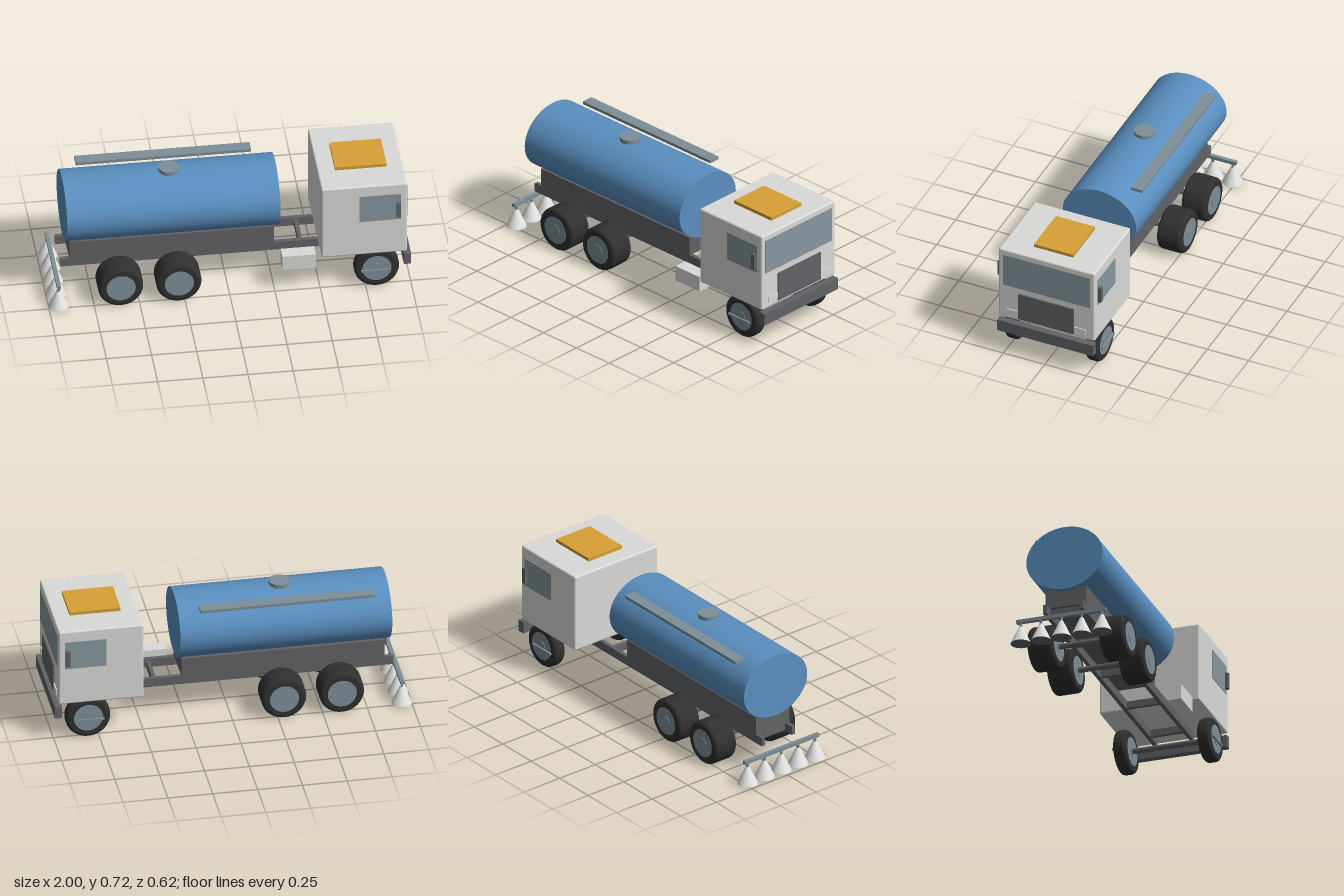
import * as THREE from 'three';
import { RoundedBoxGeometry } from 'three/addons/geometries/RoundedBoxGeometry.js';

const paint = (name, color) => {
  const m = new THREE.MeshStandardMaterial({ color });
  m.name = name;
  return m;
};

export function createModel() {
  const truck = new THREE.Group();
  truck.name = 'waterTruck';

  const cabWhite = paint('cabWhite', 0xdadad8);
  const tankBlue = paint('tankBlue', 0x5a8fc0);
  const frameGrey = paint('frameGrey', 0x626366);
  const steel = paint('steel', 0x7d8f98);
  const glass = paint('glass', 0x87979f);
  const rubber = paint('rubber', 0x303030);
  const amber = paint('amber', 0xd8a035);
  const sprayWhite = paint('sprayWhite', 0xe4e4e2);

  const add = (name, geometry, material, x = 0, y = 0, z = 0, parent = truck) => {
    const mesh = new THREE.Mesh(geometry, material);
    mesh.name = name;
    mesh.position.set(x, y, z);
    parent.add(mesh);
    return mesh;
  };
  // Box given by its limits on each axis
  const box = (name, material, [x0, x1], [y0, y1], [z0, z1], radius = 0) => {
    const size = [x1 - x0, y1 - y0, z1 - z0];
    const geometry = radius
      ? new RoundedBoxGeometry(...size, 3, radius)
      : new THREE.BoxGeometry(...size);
    return add(name, geometry, material, (x0 + x1) / 2, (y0 + y1) / 2, (z0 + z1) / 2);
  };
  // Limits along z for the given side
  const side = (s, a, b) => (s > 0 ? [a, b] : [-b, -a]);

  // Chassis: two rails with cross members
  for (const s of [1, -1]) {
    box('chassisRail', frameGrey, [-0.92, 0.905], [0.185, 0.236], side(s, 0.094, 0.117));
  }
  for (const x of [-0.85, -0.44, -0.02, 0.41, 0.8]) {
    box('crossMember', frameGrey, [x - 0.011, x + 0.011], [0.19, 0.23], [-0.095, 0.095]);
  }
  box('tankCradle', frameGrey, [-0.87, 0.262], [0.235, 0.345], [-0.118, 0.118]);
  box('bumper', frameGrey, [0.958, 0.998], [0.145, 0.215], [-0.29, 0.29]);
  box('toolBox', cabWhite, [0.29, 0.475], [0.147, 0.236], [0.183, 0.26]);

  // Oval tank lying along x
  const tankGeometry = new THREE.CylinderGeometry(1, 1, 1.18, 64);
  tankGeometry.rotateZ(Math.PI / 2).scale(1, 0.186, 0.222);
  add('tank', tankGeometry, tankBlue, -0.305, 0.516, 0);
  add('tankHatch', new THREE.CylinderGeometry(0.058, 0.058, 0.03, 32), steel, -0.305, 0.705, 0);
  box('walkway', steel, [-0.8, 0.17], [0.675, 0.692], [-0.205, -0.138]);

  // Cab
  box('cab', cabWhite, [0.503, 0.977], [0.23, 0.69], [-0.29, 0.29], 0.01);
  box('roofHatch', amber, [0.6, 0.885], [0.688, 0.709], [-0.118, 0.118]);
  box('windscreen', glass, [0.973, 0.98], [0.453, 0.656], [-0.263, 0.263]);
  box('grille', frameGrey, [0.973, 0.987], [0.25, 0.418], [-0.167, 0.167]);
  for (const s of [1, -1]) {
    box('headlight', cabWhite, [0.973, 0.983], [0.263, 0.297], side(s, 0.16, 0.238));
    box('sideWindow', glass, [0.713, 0.942], [0.455, 0.623], side(s, 0.286, 0.293));
    box('mirror', frameGrey, [0.917, 0.94], [0.478, 0.572], side(s, 0.293, 0.312));
    box('cabStep', steel, [0.722, 0.875], [0.109, 0.121], side(s, 0.27, 0.294));
  }

  // Wheel turned about z, with a rounded tyre and a rim on both faces
  const wheel = (name, x, z, width) => {
    const group = new THREE.Group();
    group.name = name;
    group.position.set(x, 0.126, z);
    truck.add(group);
    const h = width / 2;
    const r = 0.022;
    const profile = [new THREE.Vector2(0.078, -h)];
    for (const end of [-1, 1]) {
      for (let i = 0; i <= 6; i++) {
        const a = (end < 0 ? -1 + i / 6 : i / 6) * Math.PI / 2;
        profile.push(new THREE.Vector2(0.125 - r + r * Math.cos(a), end * (h - r) + r * Math.sin(a)));
      }
    }
    profile.push(new THREE.Vector2(0.078, h));
    add('tyre', new THREE.LatheGeometry(profile, 40).rotateX(Math.PI / 2), rubber, 0, 0, 0, group);
    const disc = (part, radius, length) => add(part,
      new THREE.CylinderGeometry(radius, radius, length, 32).rotateX(Math.PI / 2), steel, 0, 0, 0, group);
    disc('rim', 0.081, width + 0.002);
    disc('hub', 0.034, width + 0.008);
  };
  for (const s of [1, -1]) {
    wheel('frontWheel', 0.81, s * 0.244, 0.074);
    for (const x of [-0.605, -0.283]) wheel('rearWheel', x, s * 0.208, 0.146);
  }
  for (const [x, length] of [[0.81, 0.44], [-0.605, 0.3], [-0.283, 0.3]]) {
    add('axle', new THREE.CylinderGeometry(0.016, 0.016, length, 16).rotateX(Math.PI / 2),
      frameGrey, x, 0.126, 0);
  }

  // Rear spray bar with five nozzles and spray cones
  box('sprayBar', steel, [-0.956, -0.934], [0.133, 0.153], [-0.26, 0.26]);
  for (let i = -2; i <= 2; i++) {
    const z = i * 0.118;
    add('nozzle', new THREE.CylinderGeometry(0.008, 0.008, 0.03, 12), steel, -0.945, 0.122, z);
    add('sprayCone', new THREE.CylinderGeometry(0.01, 0.057, 0.102, 24, 1, true), sprayWhite, -0.945, 0.061, z);
    add('sprayBase', new THREE.CircleGeometry(0.057, 24).rotateX(Math.PI / 2), frameGrey, -0.945, 0.01, z);
  }

  return truck;
}
